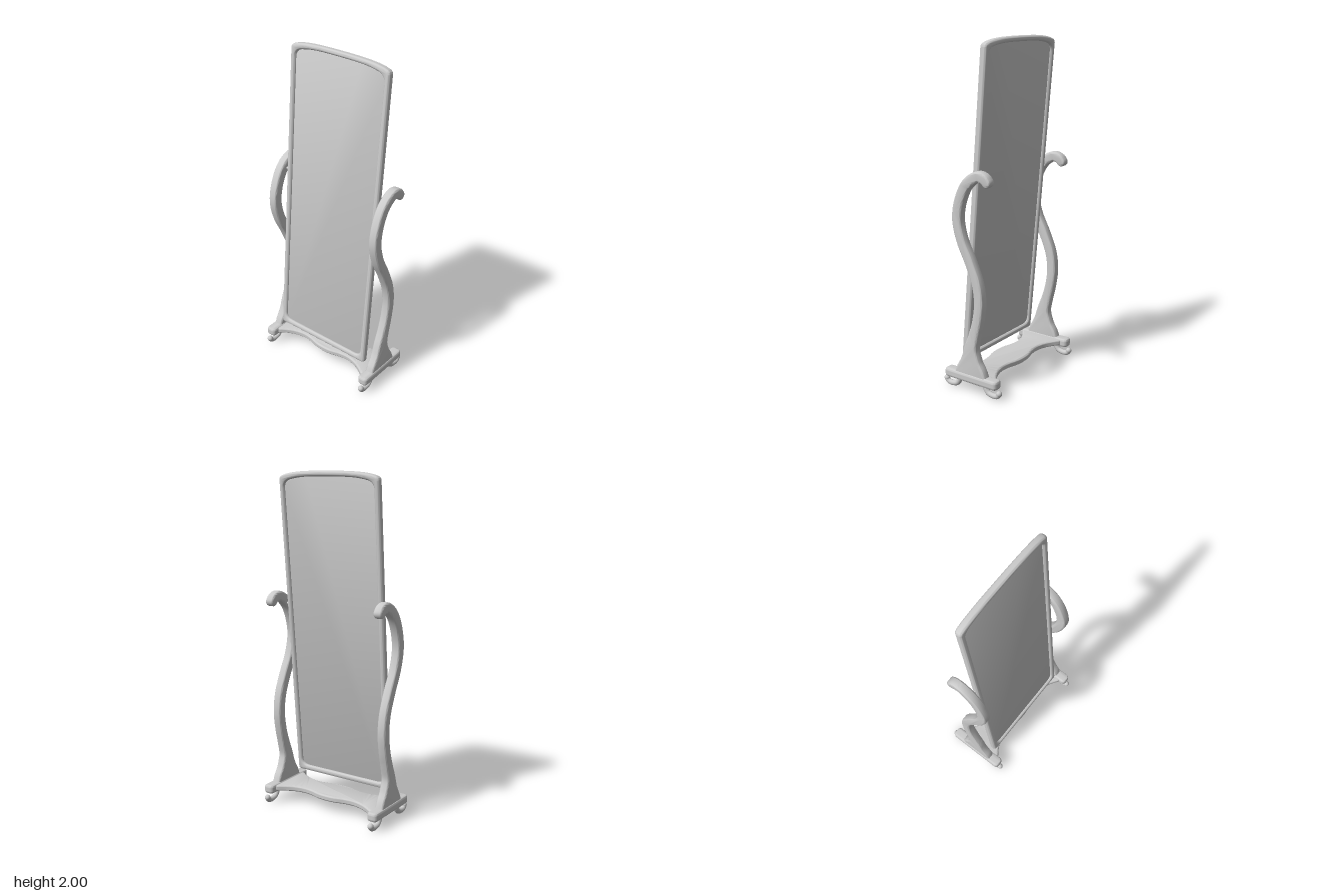
import * as THREE from 'three';
import { toCreasedNormals } from 'three/addons/utils/BufferGeometryUtils.js';

const material = new THREE.MeshStandardMaterial({ color: 0xcccccc });

function add(parent, name, geometry) {
  const mesh = new THREE.Mesh(geometry, material);
  mesh.name = name;
  parent.add(mesh);
  return mesh;
}

// Slab of a given total depth, centred on its plane, with rounded edges kept inside the outline
function slab(shape, depth, round, roundDepth = round) {
  const g = new THREE.ExtrudeGeometry(shape, {
    depth: depth - 2 * roundDepth, bevelEnabled: true, bevelSize: round, bevelOffset: -round,
    bevelThickness: roundDepth, bevelSegments: 5, curveSegments: 10, steps: 1,
  });
  g.translate(0, 0, -(depth - 2 * roundDepth) / 2);
  return toCreasedNormals(g, 0.7);
}

// Tall outline with rounded lower corners and a gently arched top
function archedOutline(Type, bottomW, topW, bottom, shoulder, top, r) {
  const s = new Type();
  s.moveTo(-bottomW + r, bottom);
  s.lineTo(bottomW - r, bottom);
  s.quadraticCurveTo(bottomW, bottom, bottomW, bottom + r);
  s.lineTo(topW, shoulder - r);
  s.quadraticCurveTo(topW, shoulder, topW - r, shoulder + 0.008);
  s.bezierCurveTo(topW - r - 0.06, top - 0.004, 0.16, top, 0, top);
  s.bezierCurveTo(-0.16, top, -topW + r + 0.06, top - 0.004, -topW + r, shoulder + 0.008);
  s.quadraticCurveTo(-topW, shoulder, -topW, shoulder - r);
  s.lineTo(-bottomW, bottom + r);
  s.quadraticCurveTo(-bottomW, bottom, -bottomW + r, bottom);
  return s;
}

// Side outline of a post: centre line points hold (z, y, half width)
function postShape() {
  const line = new THREE.CatmullRomCurve3([
    [0.003, 0.1, 0.112], [0.003, 0.145, 0.095], [0.003, 0.2, 0.064], [0, 0.27, 0.042],
    [-0.022, 0.35, 0.033], [-0.046, 0.44, 0.03], [-0.06, 0.55, 0.03], [-0.046, 0.66, 0.03],
    [0.002, 0.78, 0.03], [0.06, 0.9, 0.03], [0.086, 1.02, 0.031], [0.062, 1.14, 0.031],
    [0.01, 1.228, 0.031], [-0.06, 1.27, 0.03], [-0.1, 1.262, 0.029], [-0.118, 1.243, 0.028],
  ].map((p) => new THREE.Vector3(...p)), false, 'centripetal');
  const left = [], right = [], n = 90;
  for (let i = 0; i <= n; i++) {
    const p = line.getPoint(i / n), t = line.getTangent(i / n);
    const d = new THREE.Vector2(-t.y, t.x).normalize().multiplyScalar(p.z);
    left.push(new THREE.Vector2(p.x + d.x, p.y + d.y));
    right.push(new THREE.Vector2(p.x - d.x, p.y - d.y));
  }
  // round end of the scroll
  const a = right[n], b = left[n], c = a.clone().add(b).multiplyScalar(0.5), cap = [];
  for (let k = 1; k < 8; k++) cap.push(a.clone().rotateAround(c, (k * Math.PI) / 8));
  return new THREE.Shape([...right, ...cap, ...left.reverse()]);
}

// Wavy plate joining the two sides, drawn in x and z
function stretcherShape() {
  const half = [[0.375, 0.15], [0.34, 0.145], [0.29, 0.113], [0.24, 0.089], [0.18, 0.076], [0.12, 0.081], [0.06, 0.097]];
  const edge = [...half, [0, 0.102], ...half.slice().reverse().map(([x, z]) => [-x, z])];
  const pts = new THREE.SplineCurve(edge.map((p) => new THREE.Vector2(...p))).getPoints(70);
  return new THREE.Shape([...pts, ...pts.map((p) => new THREE.Vector2(p.x, -p.y)).reverse()]);
}

// Side runner with rounded ends, drawn in x and z
function runnerShape(w, l, r) {
  const s = new THREE.Shape();
  s.moveTo(-w + r, -l);
  s.lineTo(w - r, -l);
  s.quadraticCurveTo(w, -l, w, -l + r);
  s.lineTo(w, l - r);
  s.quadraticCurveTo(w, l, w - r, l);
  s.lineTo(-w + r, l);
  s.quadraticCurveTo(-w, l, -w, l - r);
  s.lineTo(-w, -l + r);
  s.quadraticCurveTo(-w, -l, -w + r, -l);
  return s;
}

export function createModel() {
  const model = new THREE.Group();
  model.name = 'standingMirror';

  // Tilted mirror: rounded frame and recessed panel
  const mirror = new THREE.Group();
  mirror.name = 'mirror';
  mirror.position.set(0, 0.157, 0.093);
  mirror.rotation.x = -0.0865;
  model.add(mirror);
  const frame = archedOutline(THREE.Shape, 0.33, 0.336, 0, 1.815, 1.848, 0.02);
  frame.holes.push(archedOutline(THREE.Path, 0.296, 0.302, 0.036, 1.792, 1.817, 0.045));
  add(mirror, 'mirrorFrame', slab(frame, 0.044, 0.0145, 0.018));
  const panel = archedOutline(THREE.Shape, 0.31, 0.316, 0.02, 1.8, 1.83, 0.03);
  add(mirror, 'mirrorPanel', slab(panel, 0.014, 0.002));

  // Wavy stretcher plate
  const stretcher = slab(stretcherShape(), 0.036, 0.012, 0.014);
  add(model, 'stretcher', stretcher.rotateX(Math.PI / 2)).position.y = 0.089;

  const postGeo = slab(postShape(), 0.053, 0.013).rotateY(-Math.PI / 2);
  const runnerGeo = slab(runnerShape(0.033, 0.185, 0.026), 0.052, 0.012, 0.016).rotateX(Math.PI / 2);
  const footPath = new THREE.CatmullRomCurve3([
    [0.085, 0.078], [0.094, 0.05], [0.112, 0.026], [0.145, 0.016], [0.175, 0.02], [0.189, 0.036],
  ].map(([z, y]) => new THREE.Vector3(0, y, z)));
  const footGeo = new THREE.TubeGeometry(footPath, 28, 0.016, 14);

  for (const side of [1, -1]) {
    const name = side > 0 ? 'left' : 'right';
    const x = side * 0.372;
    add(model, name + 'Post', postGeo).position.x = x;
    add(model, name + 'Runner', runnerGeo).position.set(x, 0.087, 0);

    // Pivot pin between frame and post
    const pin = add(model, name + 'Pivot', new THREE.CylinderGeometry(0.008, 0.008, 0.04, 16));
    pin.rotation.z = Math.PI / 2;
    pin.position.set(side * 0.34, 1.22, 0.003);

    // Curled feet, front and back
    for (const end of [1, -1]) {
      const foot = new THREE.Group();
      foot.name = name + (end > 0 ? 'Front' : 'Back') + 'Foot';
      foot.position.x = x;
      foot.rotation.y = end > 0 ? 0 : Math.PI;
      add(foot, 'footScroll', footGeo);
      add(foot, 'footTip', new THREE.SphereGeometry(0.0175, 16, 12)).position.set(0, 0.037, 0.188);
      model.add(foot);
    }
  }
  return model;
}
